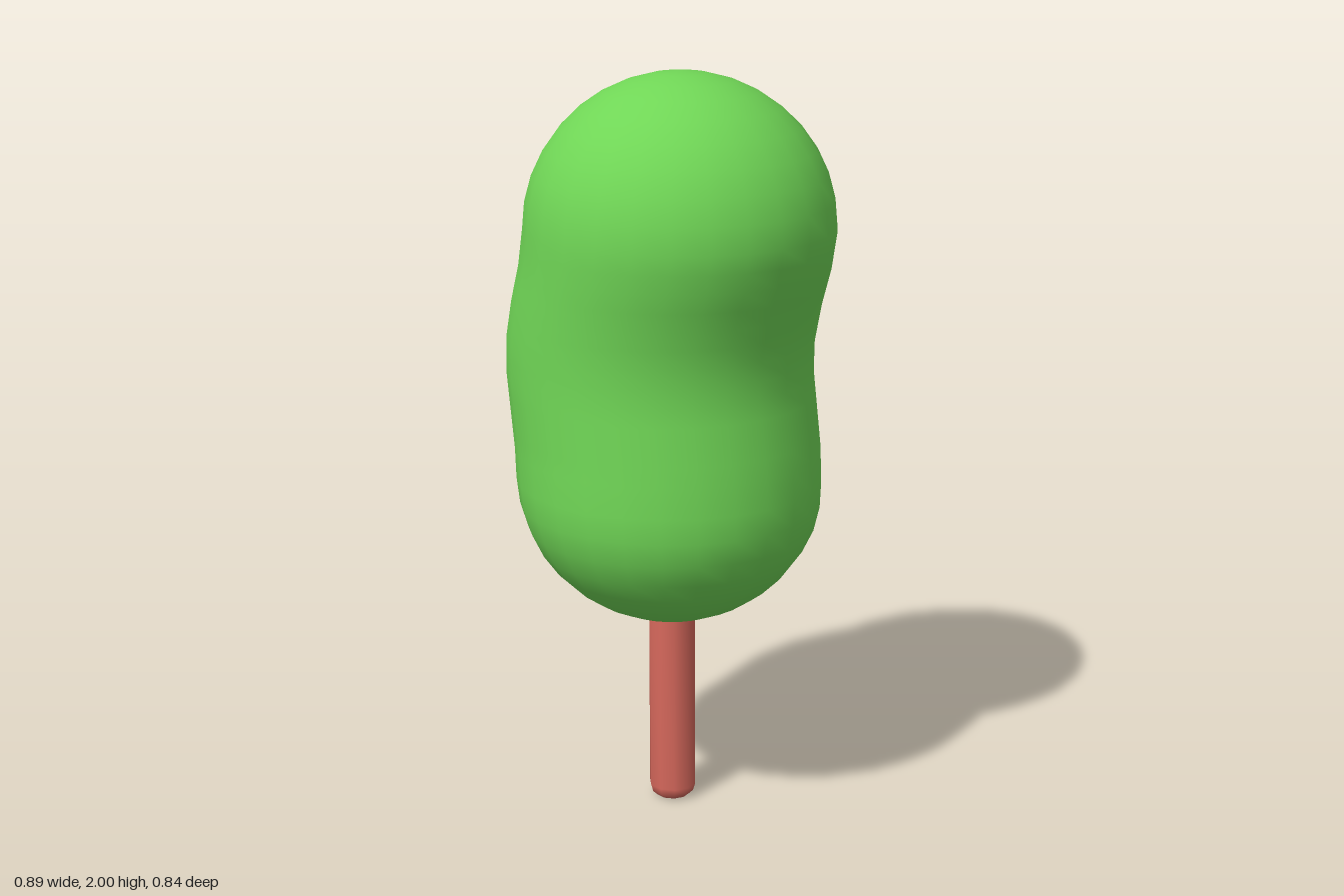
import * as THREE from 'three';
import { mergeVertices } from 'three/addons/utils/BufferGeometryUtils.js';

// Solid of revolution whose rings are slid sideways to follow a bent spine, with smooth normals
function bentLathe(profile, sides, offsetAt) {
  let geo = new THREE.LatheGeometry(profile, sides);
  geo.deleteAttribute('uv');
  geo.deleteAttribute('normal');
  const pos = geo.attributes.position;
  for (let i = 0; i < pos.count; i++) {
    const [dx, dz] = offsetAt(pos.getY(i));
    pos.setX(i, pos.getX(i) + dx);
    pos.setZ(i, pos.getZ(i) + dz);
  }
  geo = mergeVertices(geo, 1e-5);
  geo.computeVertexNormals();
  return geo;
}

// Spine of the ice: [y, x, z]
const SPINE = [
  [0.53, 0.01, 0.012], [0.8, 0.005, 0.007], [1.0, -0.012, -0.005], [1.2, -0.04, -0.013],
  [1.3, -0.037, -0.011], [1.4, -0.014, -0.003], [1.5, 0.018, 0.008], [1.6, 0.037, 0.015], [2.0, 0.037, 0.015],
];

function spineAt(y) {
  let i = 0;
  while (i < SPINE.length - 2 && y > SPINE[i + 1][0]) i++;
  const a = SPINE[i], b = SPINE[i + 1];
  const t = THREE.MathUtils.clamp((y - a[0]) / (b[0] - a[0]), 0, 1);
  return [a[1] + (b[1] - a[1]) * t, a[2] + (b[2] - a[2]) * t];
}

export function createModel() {
  const group = new THREE.Group();

  // Ice: domed bottom, long wavy barrel, domed top
  const radius = 0.408, low = 0.92, high = 1.6, steps = 9;
  const profile = [];
  for (let i = 0; i <= steps; i++) {
    const a = (i / steps) * Math.PI / 2;
    profile.push(new THREE.Vector2(radius * Math.sin(a), low - 0.385 * Math.cos(a)));
  }
  for (let y = 1.0; y < high - 0.01; y += 0.05) profile.push(new THREE.Vector2(radius, y));
  for (let i = 0; i <= steps; i++) {
    const a = (i / steps) * Math.PI / 2;
    profile.push(new THREE.Vector2(radius * Math.cos(a), high + 0.4 * Math.sin(a)));
  }
  const ice = new THREE.Mesh(
    bentLathe(profile, 26, spineAt),
    new THREE.MeshStandardMaterial({ color: 0x70d656 })
  );
  ice.name = 'ice';
  group.add(ice);

  // Stick: slim, slightly leaning rod with a bevelled foot, ending inside the ice
  const stickProfile = [[0, 0], [0.045, 0.003], [0.058, 0.015], [0.064, 0.035], [0.064, 0.7], [0, 0.7]]
    .map(([r, y]) => new THREE.Vector2(r, y));
  const stick = new THREE.Mesh(
    bentLathe(stickProfile, 10, (y) => [0.006 - 0.026 * y, 0.001 - 0.036 * y]),
    new THREE.MeshStandardMaterial({ color: 0xd2665a })
  );
  stick.name = 'stick';
  group.add(stick);

  return group;
}
